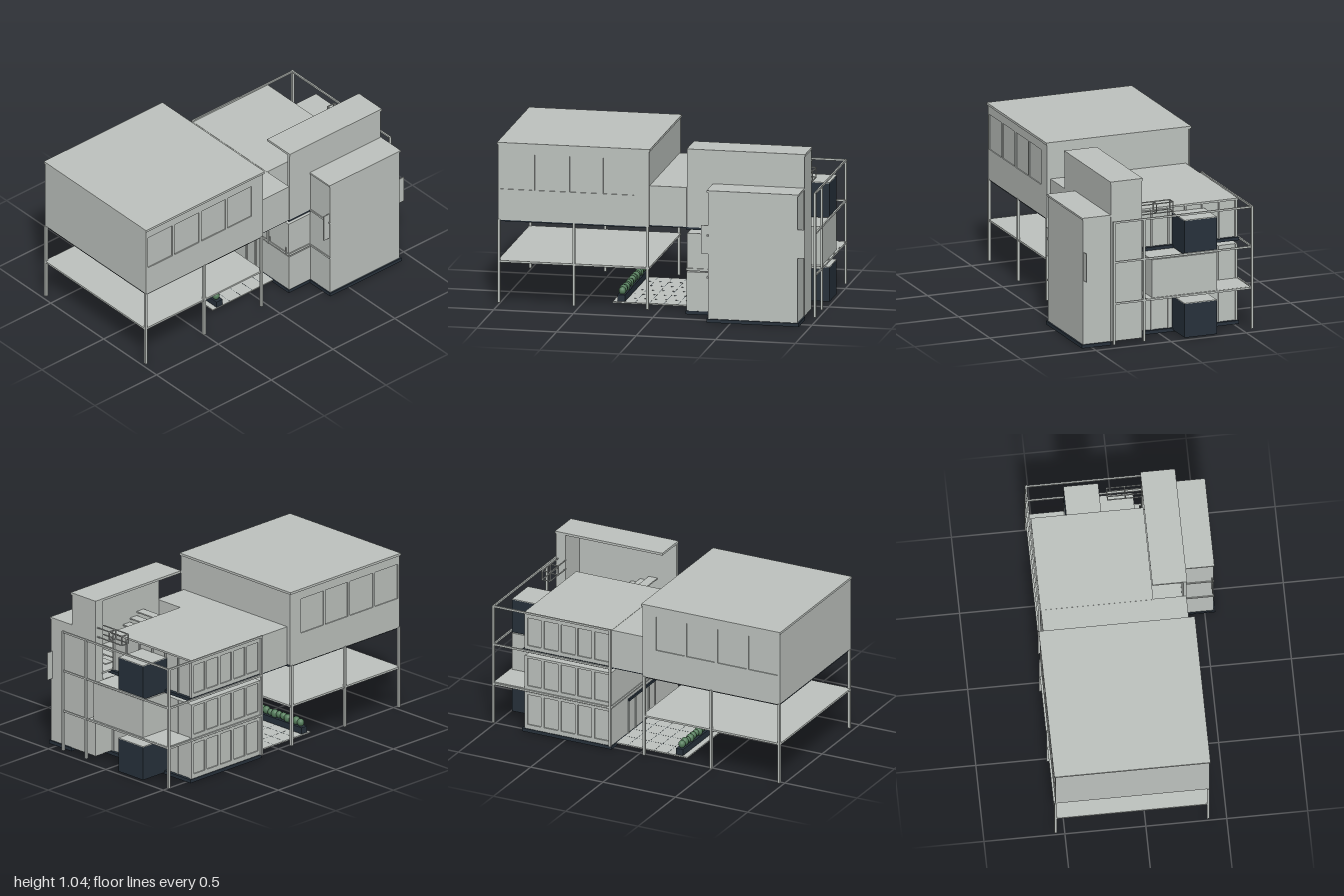
import * as THREE from 'three';

export function createModel() {
  const model = new THREE.Group();
  const mat = (name, color) => {
    const m = new THREE.MeshStandardMaterial({ color });
    m.name = name;
    return m;
  };
  const grey = mat('pale grey', 0xbdc2be);
  const dark = mat('dark slate', 0x27313b);
  const green = mat('leaf green', 0x557d5c);

  // Box given by its extents on each axis
  const box = (name, m, x0, x1, y0, y1, z0, z1, parent = model) => {
    const mesh = new THREE.Mesh(new THREE.BoxGeometry(x1 - x0, y1 - y0, z1 - z0), m);
    mesh.name = name;
    mesh.position.set((x0 + x1) / 2, (y0 + y1) / 2, (z0 + z1) / 2);
    parent.add(mesh);
    return mesh;
  };
  const group = (name) => {
    const g = new THREE.Group();
    g.name = name;
    model.add(g);
    return g;
  };

  // Raised cladding around a row of window openings on a wall facing x
  const sideCladding = (name, x0, x1, y0, y1, z0, z1, sill, head, panes) => {
    const g = group(name);
    box('sillPanel', grey, x0, x1, y0, sill, z0, z1, g);
    box('headPanel', grey, x0, x1, head, y1, z0, z1, g);
    let z = z0;
    for (const [a, b] of panes) {
      box('mullion', grey, x0, x1, sill, head, z, a, g);
      z = b;
    }
    box('mullion', grey, x0, x1, sill, head, z, z1, g);
  };
  const evenPanes = (z0, z1, n, gap) => {
    const w = (z1 - z0 - gap * (n + 1)) / n;
    return Array.from({ length: n }, (_, i) => {
      const a = z0 + gap + i * (w + gap);
      return [a, a + w];
    });
  };

  // Raised front volume on posts
  box('frontRoomCore', grey, -0.551, 0.386, 0.551, 1.02, 0.047, 0.99);
  box('frontRoomFace', grey, -0.558, 0.393, 0.551, 1.02, 0.988, 0.996);
  box('frontRoof', grey, -0.565, 0.4, 1.02, 1.035, 0.04, 1.0);
  box('frontSoffit', dark, -0.545, 0.385, 0.535, 0.551, 0.055, 0.985);
  const frontPanes = [[0.14, 0.335], [0.35, 0.545], [0.565, 0.765], [0.78, 0.98]];
  for (const [x0, x1] of [[-0.558, -0.55], [0.385, 0.393]]) {
    sideCladding('frontRoomSide', x0, x1, 0.545, 1.02, 0.045, 0.99, 0.74, 0.965, frontPanes);
  }
  box('raisedDeck', grey, -0.56, 0.39, 0.276, 0.288, 0.045, 0.998);
  for (const x of [-0.557, 0.387]) {
    for (const z of [0.99, 0.52, 0.057]) {
      box('frontPost', grey, x - 0.008, x + 0.008, 0.022, 0.55, z - 0.008, z + 0.008);
    }
  }

  // Link between the front and rear volumes
  box('link', grey, -0.53, 0.37, 0.551, 0.8, -0.185, 0.05);
  box('linkSoffit', dark, -0.525, 0.365, 0.543, 0.551, -0.185, 0.05);

  // Rear block: three storeys
  box('mainBase', dark, -0.535, 0.372, 0, 0.022, -0.8, -0.18);
  box('groundFloor', grey, -0.522, 0.37, 0.022, 0.268, -0.78, -0.185);
  box('middleSlab', grey, -0.53, 0.16, 0.275, 0.29, -0.99, -0.182);
  box('middleSlabSide', grey, 0.16, 0.37, 0.275, 0.29, -0.79, -0.182);
  box('middleFloor', grey, -0.522, 0.362, 0.29, 0.51, -0.78, -0.187);
  box('upperSlab', dark, -0.535, 0.37, 0.535, 0.555, -0.797, -0.182);
  box('upperFloor', grey, -0.522, 0.16, 0.555, 0.79, -0.775, -0.18);
  box('upperRoof', grey, -0.532, 0.165, 0.79, 0.802, -0.785, -0.18);
  const rearPanes = evenPanes(-0.785, -0.185, 5, 0.02);
  sideCladding('groundSide', -0.53, -0.522, 0.022, 0.268, -0.785, -0.185, 0.05, 0.25, rearPanes);
  sideCladding('middleSide', -0.53, -0.522, 0.29, 0.51, -0.785, -0.187, 0.31, 0.495, rearPanes);
  sideCladding('upperSide', -0.53, -0.522, 0.555, 0.79, -0.785, -0.185, 0.58, 0.765, rearPanes);

  // Frames of the rear windows
  for (const [y0, y1] of [[0.022, 0.268], [0.29, 0.51], [0.555, 0.79]]) {
    const g = group('rearWindows');
    for (let i = 0; i <= 6; i++) {
      const x = -0.52 + i * 0.112;
      box('rearMullion', grey, x - 0.005, x + 0.005, y0, y1, -0.786, -0.774, g);
    }
  }

  // Front entrance
  box('entranceCanopy', dark, -0.305, 0.06, 0.235, 0.25, -0.21, -0.175);
  for (const x of [-0.3, -0.207, -0.03, 0.055]) {
    box('entranceFrame', grey, x - 0.004, x + 0.004, 0.022, 0.235, -0.19, -0.178);
  }
  box('middlePost', grey, 0.163, 0.178, 0.27, 0.545, -0.19, -0.178);
  for (const x of [0.19, 0.34]) {
    box('middleRailPost', grey, x - 0.003, x + 0.003, 0.28, 0.325, -0.188, -0.18);
  }

  // Projecting rear bays and the enclosed middle balcony
  for (const [y0, y1] of [[0.01, 0.225], [0.54, 0.757]]) {
    box('rearBay', dark, -0.31, -0.095, y0, y1, -0.985, -0.78);
    box('rearBayTop', grey, -0.31, -0.095, y1, y1 + 0.005, -0.985, -0.78);
  }
  box('middleBay', grey, -0.31, 0.12, 0.288, 0.533, -0.985, -0.78);

  // Stair tower: back wall, outer wall and overhanging roof
  box('towerBack', grey, 0.163, 0.37, 0.022, 1.03, -0.925, -0.86);
  box('towerLower', grey, 0.165, 0.368, 0.022, 0.51, -0.865, -0.775);
  box('towerOuterWall', grey, 0.352, 0.372, 0.55, 1.03, -0.92, -0.187);
  box('towerRoof', grey, 0.16, 0.375, 1.03, 1.045, -0.93, -0.187);
  box('towerLanding', grey, 0.16, 0.355, 0.55, 0.562, -0.87, -0.185);
  for (let i = 0; i < 8; i++) {
    box('stairStep', grey, 0.2, 0.352, 0.58 + i * 0.027, 0.588 + i * 0.027, -0.8 + i * 0.06, -0.74 + i * 0.06);
  }

  // Side wing
  box('wingBase', dark, 0.37, 0.565, 0, 0.022, -0.93, -0.35);
  box('wing', grey, 0.368, 0.555, 0.022, 0.82, -0.92, -0.357);
  box('wingCap', grey, 0.368, 0.56, 0.82, 0.832, -0.926, -0.35);
  for (const y of [0.283, 0.547]) {
    box('wingLedge', grey, 0.372, 0.558, y - 0.006, y + 0.006, -0.36, -0.351);
  }
  box('wingFin', grey, 0.543, 0.549, 0.43, 0.61, -0.962, -0.312);

  // Open frame around the rear balconies
  const frame = group('balconyFrame');
  for (const [x, z] of [[0.378, -0.993], [0.177, -0.993], [-0.54, -0.993], [-0.54, -0.187]]) {
    box('balconyPost', grey, x - 0.007, x + 0.007, 0.022, 0.808, z - 0.007, z + 0.007, frame);
  }
  for (const y of [0.283, 0.547, 0.802]) {
    box('rearRail', grey, -0.54, 0.385, y - 0.006, y + 0.006, -0.998, -0.988, frame);
    box('sideRail', grey, -0.546, -0.536, y - 0.006, y + 0.006, -0.998, -0.182, frame);
  }

  // Small open cage beside the tower
  const cage = group('roofCage');
  const t = 0.003;
  for (const y of [0.805, 0.865]) {
    for (const z of [-0.91, -0.855]) box('cageRail', grey, -0.05, 0.165, y - t, y + t, z - t, z + t, cage);
    for (const x of [-0.05, 0.06]) box('cageTie', grey, x - t, x + t, y - t, y + t, -0.91, -0.855, cage);
  }
  for (const x of [-0.05, 0.06]) {
    for (const z of [-0.91, -0.855]) box('cagePost', grey, x - t, x + t, 0.805, 0.865, z - t, z + t, cage);
  }

  // Paved path with narrow dark joints
  box('path', grey, -0.47, 0.225, 0.014, 0.022, -0.18, 0.31);
  for (let i = 1; i < 6; i++) {
    const x = -0.47 + i * 0.116;
    box('pathJoint', dark, x - 0.0008, x + 0.0008, 0.0218, 0.0224, -0.18, 0.22);
  }
  for (let i = 0; i < 4; i++) {
    const z = -0.1 + i * 0.09;
    box('pathJoint', dark, -0.47, 0.225, 0.0218, 0.0224, z - 0.0008, z + 0.0008);
  }

  // Planter with a clipped hedge
  box('planter', dark, -0.47, 0.228, 0.026, 0.067, 0.232, 0.28);
  box('planterFoot', grey, -0.46, 0.218, 0.02, 0.026, 0.24, 0.272);
  const ball = new THREE.SphereGeometry(1, 16, 12);
  for (let i = 0; i < 18; i++) {
    const shrub = new THREE.Mesh(ball, green);
    const r = 0.022 + 0.003 * Math.sin(i * 2.4);
    shrub.name = 'shrub';
    shrub.scale.set(r * 1.05, r * 1.12, r);
    shrub.position.set(-0.437 + i * 0.037, 0.088 + 0.003 * Math.sin(i * 1.7), 0.256);
    model.add(shrub);
  }

  return model;
}
